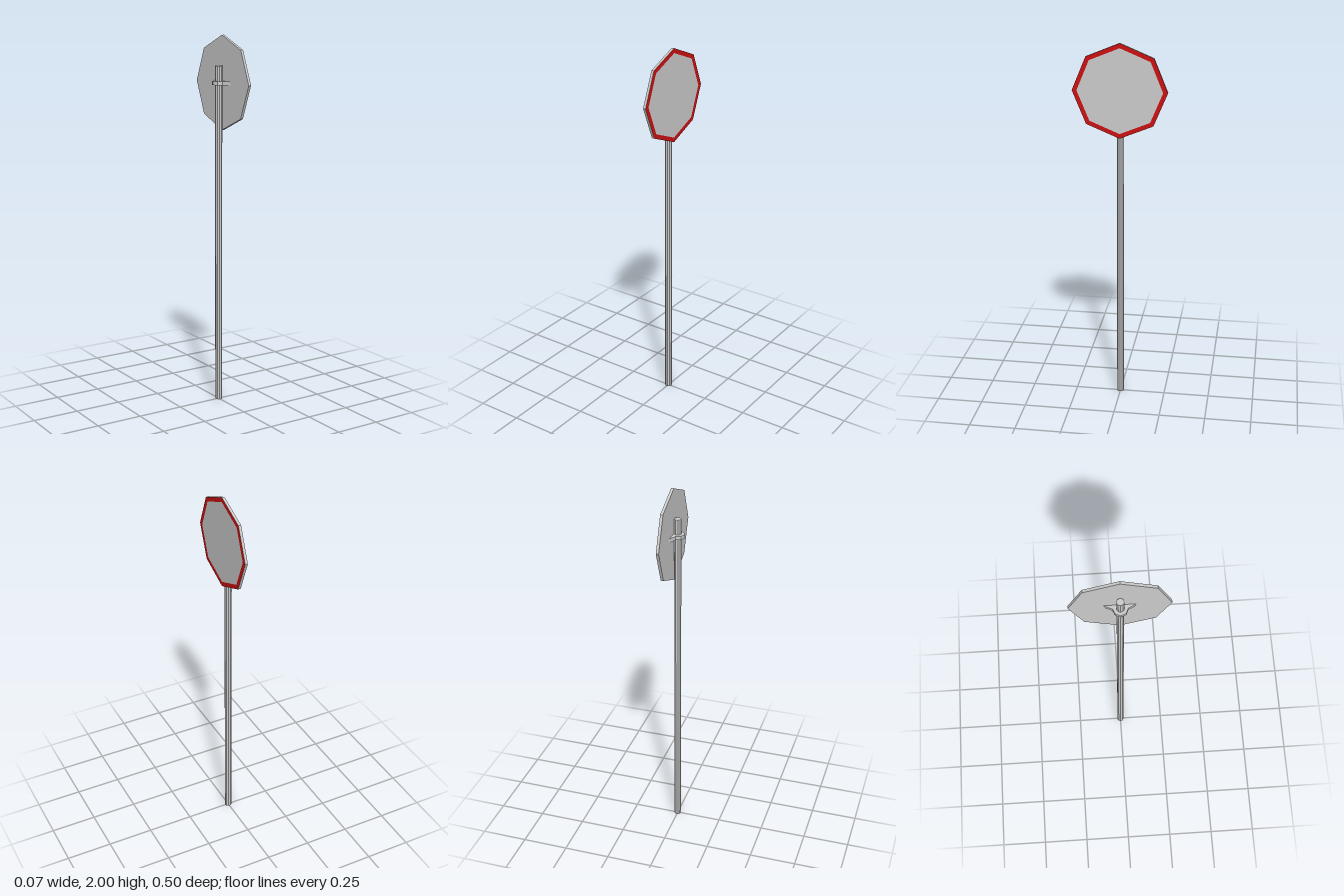
import * as THREE from 'three';

const SIGN_Y = 1.75;

function material(color) {
  return new THREE.MeshStandardMaterial({ color, flatShading: true });
}

function addMesh(group, name, geometry, mat) {
  const mesh = new THREE.Mesh(geometry, mat);
  mesh.name = name;
  group.add(mesh);
  return mesh;
}

// Octagon corners, with one corner pointing straight up
function octagon(radius) {
  return Array.from({ length: 8 }, (_, i) => {
    const a = (i * Math.PI) / 4;
    return new THREE.Vector2(Math.sin(a) * radius, Math.cos(a) * radius);
  });
}

export function createModel() {
  const group = new THREE.Group();
  group.name = 'roadSign';
  const grey = material(0xcccccc);
  const red = material(0xcc1111);

  // Ten-sided post
  const postHeight = 1.84;
  const post = new THREE.CylinderGeometry(0.019, 0.019, postHeight, 10);
  post.rotateY(Math.PI / 2).translate(0, postHeight / 2, 0);
  addMesh(group, 'post', post, grey);

  // Octagonal plate facing +x
  const plate = new THREE.ExtrudeGeometry(new THREE.Shape(octagon(0.25)), { depth: 0.0145, bevelEnabled: false });
  plate.rotateY(Math.PI / 2).translate(0.02, SIGN_Y, 0);
  addMesh(group, 'signPlate', plate, grey);

  // Flat red border on the plate's face
  const ring = new THREE.Shape(octagon(0.25));
  ring.holes.push(new THREE.Path(octagon(0.225).reverse()));
  const border = new THREE.ShapeGeometry(ring);
  border.rotateY(Math.PI / 2).translate(0.035, SIGN_Y, 0);
  addMesh(group, 'signBorder', border, red);

  // Clamp bracket wrapped round the post, flaring out to the plate
  const half = [[0.02, 0.08], [0, 0.038], [-0.026, 0.027]];
  const outline = [
    ...half,
    [-0.037, 0],
    ...half.map(([x, z]) => [x, -z]).reverse(),
  ].map(([x, z]) => new THREE.Vector2(x, z));
  const thickness = 0.02;
  const bracket = new THREE.ExtrudeGeometry(new THREE.Shape(outline), { depth: thickness, bevelEnabled: false });
  bracket.rotateX(-Math.PI / 2).translate(0, SIGN_Y - thickness / 2, 0);
  addMesh(group, 'clampBracket', bracket, grey);

  return group;
}
